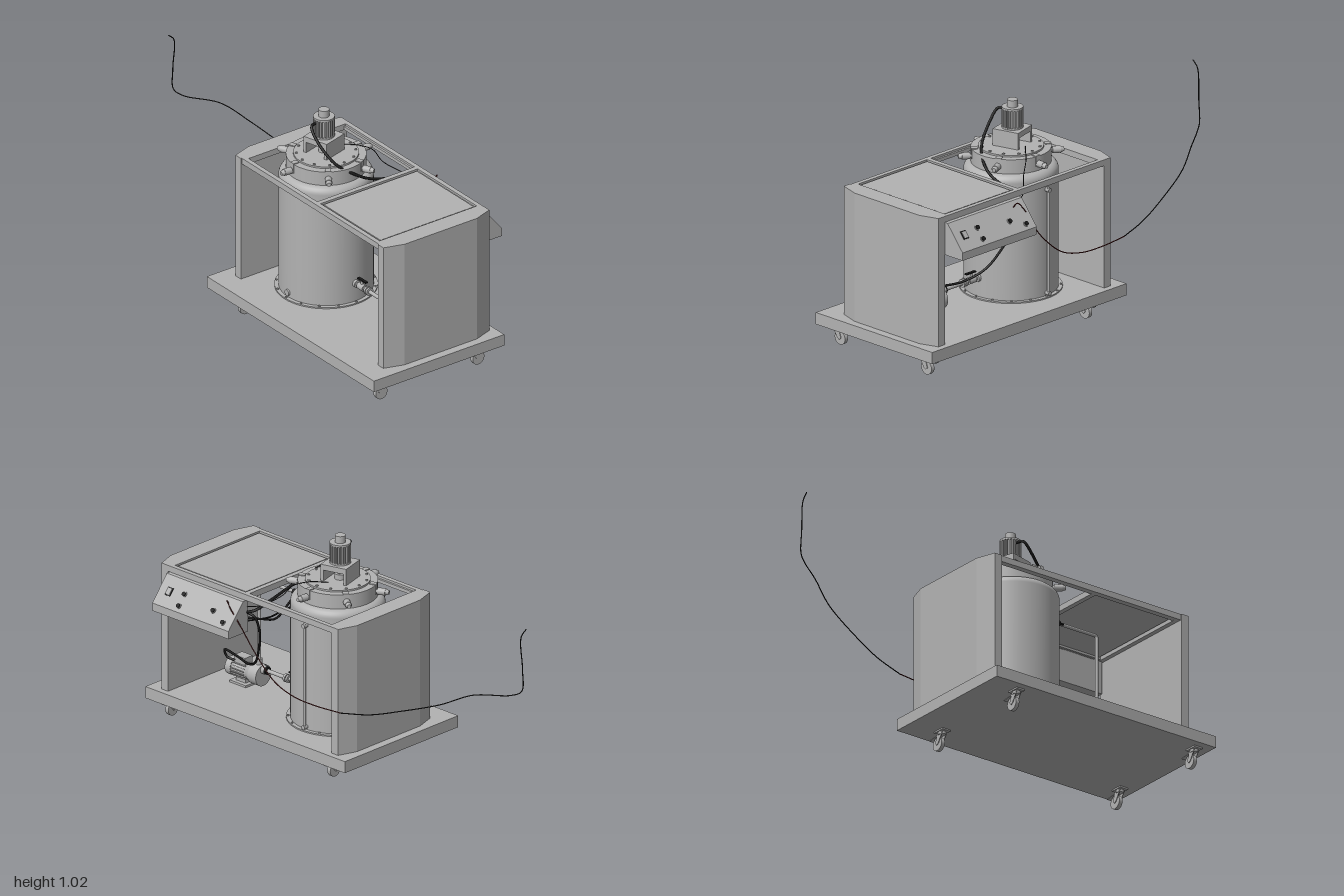
import * as THREE from 'three';

const mat = (name, color) => {
  const m = new THREE.MeshStandardMaterial({ color });
  m.name = name;
  return m;
};

export function createModel() {
  const steel = mat('steel grey', 0xb2b2b2);
  const black = mat('cable black', 0x1a1a1a);
  const red = mat('dark red wire', 0x561616);
  const root = new THREE.Group();
  root.name = 'mixingTankCart';

  const add = (name, geo, x = 0, y = 0, z = 0, material = steel, parent = root) => {
    const m = new THREE.Mesh(geo, material);
    m.name = name;
    m.position.set(x, y, z);
    parent.add(m);
    return m;
  };
  const group = (name, x = 0, y = 0, z = 0, parent = root) => {
    const g = new THREE.Group();
    g.name = name;
    g.position.set(x, y, z);
    parent.add(g);
    return g;
  };
  // box given by its min and max corners
  const box = (name, x0, x1, y0, y1, z0, z1, material, parent) =>
    add(name, new THREE.BoxGeometry(x1 - x0, y1 - y0, z1 - z0),
      (x0 + x1) / 2, (y0 + y1) / 2, (z0 + z1) / 2, material, parent);
  // cylinder running from point a to point b
  const rod = (name, a, b, r, material, parent, sides = 24, rEnd = r) => {
    const A = new THREE.Vector3(...a), B = new THREE.Vector3(...b);
    const mid = A.clone().add(B).multiplyScalar(0.5);
    const m = add(name, new THREE.CylinderGeometry(rEnd, r, A.distanceTo(B), sides), mid.x, mid.y, mid.z, material, parent);
    m.quaternion.setFromUnitVectors(new THREE.Vector3(0, 1, 0), B.sub(A).normalize());
    return m;
  };
  const cable = (name, pts, r, material = black, n = 80) =>
    add(name, new THREE.TubeGeometry(
      new THREE.CatmullRomCurve3(pts.map(p => new THREE.Vector3(...p))), n, r, 8), 0, 0, 0, material);

  // Base slab
  box('base', -0.22, 1.0, 0.09, 0.145, -0.32, 0.4);

  // Swivel casters
  for (const x of [-0.06, 0.93]) for (const z of [0.335, -0.2]) {
    const c = group('caster', x, 0, z);
    box('casterPlate', -0.022, 0.022, 0.083, 0.09, -0.03, 0.03, steel, c);
    rod('casterSwivel', [0, 0.07, 0], [0, 0.085, 0], 0.018, steel, c);
    rod('wheel', [-0.009, 0.033, -0.024], [0.009, 0.033, -0.024], 0.032, steel, c, 32);
    const fork = new THREE.Shape([[0.018, 0.08], [-0.018, 0.08], [-0.034, 0.035], [-0.024, 0.025], [-0.012, 0.032]]
      .map(p => new THREE.Vector2(-p[0], p[1])));
    for (const s of [-1, 1]) {
      const f = add('forkArm', new THREE.ExtrudeGeometry(fork, { depth: 0.003, bevelEnabled: false }),
        s * 0.012 - 0.0015, 0, 0, steel, c);
      f.rotation.y = Math.PI / 2;
    }
    const brake = box('brakeLever', -0.01, 0.01, 0.069, 0.073, -0.08, -0.01, steel, c);
    brake.rotation.x = -0.12;
  }

  // Side panels with chamfered outer corners
  const outline = [[-0.11, -0.29], [-0.15, -0.29], [-0.18, -0.2], [-0.18, 0.2], [-0.15, 0.295], [-0.11, 0.295]];
  for (const s of [1, -1]) {
    const shape = new THREE.Shape(outline.map(([x, z]) => new THREE.Vector2(s > 0 ? x : 0.78 - x, -z)));
    const p = add('sidePanel', new THREE.ExtrudeGeometry(shape, { depth: 0.603, bevelEnabled: false }), 0, 0.145, 0);
    p.rotation.x = -Math.PI / 2;
  }

  // Top frame with an inner ledge, and the lid on the right-hand bay
  for (const [z0, z1, l0, l1] of [[-0.29, -0.268, -0.268, -0.258], [0.268, 0.29, 0.258, 0.268]]) {
    box('frameRail', -0.11, 0.89, 0.72, 0.748, z0, z1);
    box('frameLedge', -0.11, 0.89, 0.722, 0.738, l0, l1);
  }
  for (const [x0, x1] of [[-0.11, -0.09], [0.412, 0.436], [0.868, 0.89]])
    box('frameCrossbar', x0, x1, 0.72, 0.748, -0.268, 0.268);
  box('lid', 0.445, 0.86, 0.732, 0.744, -0.258, 0.258);

  // Tank body and base ring
  const cx = 0.155, cz = 0.025;
  const tank = group('tank', cx, 0, cz);
  const prof = [[0.21, 0.145], [0.21, 0.7]];
  for (let i = 1; i <= 6; i++) {
    const a = i / 6 * Math.PI / 2;
    prof.push([0.175 + 0.035 * Math.cos(a), 0.7 + 0.035 * Math.sin(a)]);
  }
  prof.push([0, 0.735]);
  add('tankBody', new THREE.LatheGeometry(prof.map(p => new THREE.Vector2(...p)), 64), 0, 0, 0, steel, tank);
  rod('tankFoot', [0, 0.145, 0], [0, 0.151, 0], 0.228, steel, tank, 64);
  for (let i = 0; i < 16; i++) {
    const a = i / 16 * Math.PI * 2;
    rod('footBolt', [0.22 * Math.cos(a), 0.15, 0.22 * Math.sin(a)], [0.22 * Math.cos(a), 0.156, 0.22 * Math.sin(a)], 0.005, steel, tank, 6);
  }
  rod('drainPort', [0, 0.173, 0.2], [0, 0.173, 0.218], 0.015, steel, tank);
  rod('levelTube', [-0.01, 0.16, -0.222], [-0.01, 0.66, -0.222], 0.007, steel, tank, 12);
  for (const y of [0.165, 0.65]) rod('levelTubeFitting', [-0.01, y, -0.2], [-0.01, y, -0.232], 0.01, steel, tank, 12);

  // Flanged tank cover
  rod('coverFlange', [0, 0.735, 0], [0, 0.802, 0], 0.178, steel, tank, 64);
  rod('coverPlate', [0, 0.8, 0], [0, 0.81, 0], 0.145, steel, tank, 64);
  for (let i = 0; i < 12; i++) {
    const a = i / 12 * Math.PI * 2, x = 0.132 * Math.cos(a), z = 0.132 * Math.sin(a);
    rod('coverBolt', [x, 0.81, z], [x, 0.815, z], 0.006, steel, tank, 6);
  }
  // Six clamp knobs
  for (let i = 0; i < 6; i++) {
    const k = group('clamp', 0, 0.77, 0, tank);
    k.rotation.y = -(34 + i * 60) * Math.PI / 180;
    rod('clampStud', [0.17, 0, 0], [0.195, 0, 0], 0.01, steel, k, 16);
    rod('clampKnob', [0.185, 0, 0], [0.222, 0, 0], 0.016, steel, k, 16);
    rod('clampTip', [0.222, 0, 0], [0.238, 0, 0], 0.014, steel, k, 16, 0.009);
    box('clampBlock', 0.15, 0.18, -0.012, 0.036, -0.013, 0.013, steel, k);
  }

  // Mixer bracket and finned motor
  const mixer = group('mixer', 0.143, 0, 0.028);
  mixer.rotation.y = 0.27;
  box('bracketTop', -0.064, 0.064, 0.862, 0.888, -0.064, 0.064, steel, mixer);
  for (const s of [-1, 1])
    box('bracketWall', s * 0.057 - 0.007, s * 0.057 + 0.007, 0.81, 0.865, -0.064, 0.064, steel, mixer);
  rod('mixerShaft', [0, 0.8, 0], [0, 0.87, 0], 0.012, steel, mixer);
  rod('shaftCoupling', [0, 0.81, 0], [0, 0.835, 0], 0.025, steel, mixer);
  rod('motorCore', [0, 0.885, 0], [0, 0.982, 0], 0.04, steel, mixer, 32);
  rod('motorRim', [0, 0.885, 0], [0, 0.895, 0], 0.048, steel, mixer, 32);
  rod('motorRim', [0, 0.976, 0], [0, 0.985, 0], 0.048, steel, mixer, 32);
  for (let i = 0; i < 22; i++) {
    const f = group('motorFin', 0, 0, 0, mixer);
    f.rotation.y = i / 22 * Math.PI * 2;
    box('fin', 0.036, 0.048, 0.89, 0.98, -0.003, 0.003, steel, f);
  }
  rod('motorCap', [0, 0.98, 0], [0, 1.018, 0], 0.024, steel, mixer);

  // Circulation pump
  const pump = group('pump', 0, 0, 0.02);
  rod('pumpVolute', [0.605, 0.21, 0], [0.655, 0.21, 0], 0.05, steel, pump, 32);
  rod('pumpCover', [0.655, 0.21, 0], [0.685, 0.21, 0], 0.05, steel, pump, 32, 0.036);
  rod('pumpMotor', [0.68, 0.205, 0], [0.78, 0.205, 0], 0.037, steel, pump, 32);
  rod('pumpFanCover', [0.77, 0.205, 0], [0.802, 0.205, 0], 0.042, steel, pump, 32);
  for (let i = 0; i < 18; i++) {
    const f = group('pumpMotorFin', 0, 0.205, 0, pump);
    f.rotation.x = i / 18 * Math.PI * 2;
    box('fin', 0.69, 0.77, 0.034, 0.042, -0.002, 0.002, steel, f);
  }
  box('terminalBox', 0.695, 0.76, 0.235, 0.272, -0.025, 0.025, steel, pump);
  box('pumpFoot', 0.67, 0.77, 0.145, 0.155, -0.045, 0.045, steel, pump);
  box('pumpPedestal', 0.69, 0.75, 0.15, 0.18, -0.025, 0.025, steel, pump);

  // Suction and return piping
  const pipes = group('piping', 0, 0, 0.02);
  rod('suctionPipe', [0.36, 0.24, 0], [0.61, 0.24, 0], 0.009, steel, pipes, 16);
  for (const [a, b, r] of [[0.365, 0.378, 0.018], [0.39, 0.43, 0.016], [0.445, 0.455, 0.019], [0.46, 0.47, 0.019], [0.585, 0.605, 0.02]])
    rod('pipeFitting', [a, 0.24, 0], [b, 0.24, 0], r, steel, pipes, 16);
  rod('valveStem', [0.41, 0.24, 0], [0.41, 0.275, 0], 0.006, steel, pipes, 12);
  box('valveHandle', 0.385, 0.445, 0.272, 0.278, -0.007, 0.007, black, pipes);
  rod('hoseCollar', [0.575, 0.24, 0], [0.585, 0.24, 0], 0.018, black, pipes, 16);
  rod('returnRiser', [0.63, 0.25, 0], [0.63, 0.655, 0], 0.008, steel, pipes, 16);
  rod('riserCollar', [0.63, 0.255, 0], [0.63, 0.285, 0], 0.014, steel, pipes, 16);
  add('returnElbow', new THREE.TorusGeometry(0.012, 0.008, 10, 12, Math.PI / 2), 0.618, 0.655, 0, steel, pipes);
  rod('returnPipe', [0.36, 0.667, 0], [0.618, 0.667, 0], 0.008, steel, pipes, 16);
  rod('returnValve', [0.385, 0.667, 0], [0.42, 0.667, 0], 0.014, black, pipes, 16);
  box('returnHandle', 0.37, 0.43, 0.655, 0.661, 0.012, 0.024, black, pipes);
  rod('returnSensor', [0.402, 0.6, 0], [0.402, 0.66, 0], 0.008, steel, pipes, 12);

  // Control cabinet with sloped panel
  const cab = new THREE.Shape([[0.27, 0.565], [0.395, 0.565], [0.395, 0.602], [0.302, 0.716], [0.27, 0.72]]
    .map(p => new THREE.Vector2(...p)));
  const c = add('controlCabinet', new THREE.ExtrudeGeometry(cab, { depth: 0.465, bevelEnabled: false }), 0.42, 0, 0);
  c.rotation.y = Math.PI / 2;
  // Panel frame: local y points out of the slope, local z runs down it
  const panel = group('controlPanel', 0, 0.659, -0.3485);
  panel.quaternion.setFromRotationMatrix(new THREE.Matrix4().makeBasis(
    new THREE.Vector3(-1, 0, 0), new THREE.Vector3(0, 0.632, -0.775), new THREE.Vector3(0, -0.775, -0.632)));
  for (const [x, z] of [[0.47, 0.045], [0.55, 0.01], [0.74, 0.045], [0.74, -0.012]]) {
    rod('buttonRing', [-x, 0, z], [-x, 0.004, z], 0.013, steel, panel);
    rod('button', [-x, 0, z], [-x, 0.009, z], 0.01, black, panel);
  }
  box('displayBezel', -0.842, -0.81, 0, 0.003, -0.02, 0.02, black, panel);
  box('display', -0.838, -0.814, 0, 0.005, -0.015, 0.015, steel, panel);

  // Cables
  cable('mixerMotorCable', [[0.143, 0.962, 0.07], [0.155, 0.96, 0.105], [0.2, 0.91, 0.11], [0.29, 0.82, 0.075],
    [0.345, 0.765, 0.0], [0.362, 0.735, -0.06], [0.37, 0.7, -0.18], [0.39, 0.67, -0.26], [0.45, 0.65, -0.28]], 0.0065);
  cable('pumpCable', [[0.74, 0.255, -0.02], [0.78, 0.265, -0.03], [0.785, 0.3, -0.04], [0.7, 0.305, -0.06], [0.58, 0.31, -0.1],
    [0.49, 0.36, -0.15], [0.42, 0.47, -0.2], [0.38, 0.57, -0.24], [0.39, 0.64, -0.26], [0.45, 0.66, -0.28]], 0.0055);
  cable('valveCable', [[0.402, 0.66, 0.01], [0.385, 0.64, -0.05], [0.375, 0.6, -0.14], [0.38, 0.62, -0.22], [0.44, 0.63, -0.28]], 0.005);
  cable('sensorCable', [[0.402, 0.61, 0.015], [0.415, 0.6, -0.06], [0.39, 0.61, -0.17], [0.44, 0.61, -0.28]], 0.004);
  cable('coverSensorWire', [[0.14, 0.815, -0.05], [0.2, 0.818, -0.11], [0.25, 0.8, -0.16], [0.29, 0.75, -0.185],
    [0.36, 0.7, -0.25], [0.44, 0.68, -0.28]], 0.002);
  // Long probe wire: black lead first, then the red run up to the panel
  cable('probeLead', [[-0.992, 0.9, 0.03], [-0.99, 0.87, 0], [-0.998, 0.72, 0], [-0.998, 0.615, -0.005], [-0.96, 0.592, -0.03],
    [-0.82, 0.582, -0.13], [-0.69, 0.52, -0.2], [-0.5, 0.45, -0.26], [-0.35, 0.4, -0.295], [-0.2, 0.373, -0.325]], 0.0025, black, 120);
  cable('probeWire', [[-0.2, 0.373, -0.325], [-0.05, 0.37, -0.338], [0.08, 0.375, -0.337], [0.2, 0.41, -0.333], [0.32, 0.51, -0.33],
    [0.4, 0.61, -0.335], [0.45, 0.68, -0.345], [0.485, 0.715, -0.338], [0.49, 0.69, -0.318]], 0.0025, red, 120);

  return root;
}
